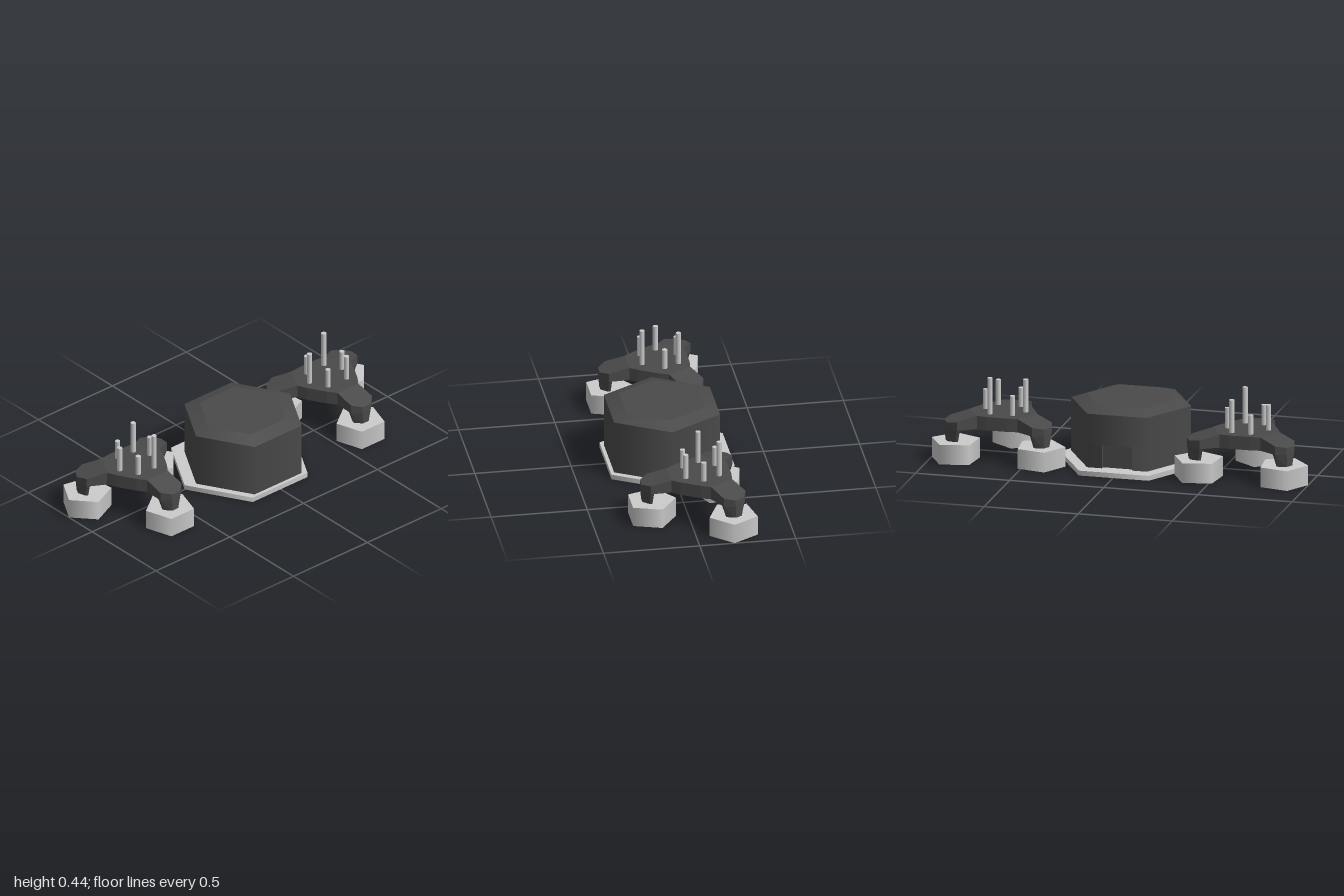
import * as THREE from 'three';

const grey = new THREE.MeshStandardMaterial({ color: 0xcccccc });
const dark = new THREE.MeshStandardMaterial({ color: 0x4a4a4a });

function add(parent, name, geometry, material) {
  const mesh = new THREE.Mesh(geometry, material);
  mesh.name = name;
  parent.add(mesh);
  return mesh;
}

// Upright prism over a footprint of [x, z] points
function prism(points, y0, y1) {
  const shape = new THREE.Shape(points.map(([x, z]) => new THREE.Vector2(x, -z)));
  const geometry = new THREE.ExtrudeGeometry(shape, { depth: y1 - y0, bevelEnabled: false });
  return geometry.rotateX(-Math.PI / 2).translate(0, y0, 0);
}

// Moves every vertex by a rule
function reshape(geometry, rule) {
  const p = geometry.attributes.position;
  const v = new THREE.Vector3();
  for (let i = 0; i < p.count; i++) {
    rule(v.fromBufferAttribute(p, i));
    p.setXYZ(i, v.x, v.y, v.z);
  }
  geometry.computeVertexNormals();
  return geometry;
}

const polar = (degrees, r) => {
  const a = THREE.MathUtils.degToRad(degrees);
  return [r * Math.sin(a), r * Math.cos(a)];
};

// Shades the outer walls of a hexagonal prism as one smooth surface
function smoothWalls(geometry, apothem) {
  const { position: p, normal: n } = geometry.attributes;
  for (let i = 0; i < p.count; i++) {
    const x = p.getX(i), z = p.getZ(i);
    if (Math.abs(x * n.getX(i) + z * n.getZ(i) - apothem) < 0.002 && Math.abs(n.getY(i)) < 0.1) {
      const l = Math.hypot(x, z);
      n.setXYZ(i, x / l, 0, z / l);
    }
  }
  return geometry;
}

function makeTower() {
  const tower = new THREE.Group();
  tower.name = 'tower';
  const R = 0.318, apothem = R * Math.cos(Math.PI / 6);
  const hex = [30, 90, 150, 210, 270, 330].map(a => polar(a, R));
  // Doorway notch in the back wall, between the corners at 150 and 210 degrees
  const w = 0.08, inner = -apothem + 0.02;
  const notch = [[w, -apothem], [w, inner], [-w, inner], [-w, -apothem]];
  const notched = [...hex.slice(0, 3), ...notch, ...hex.slice(3)];
  add(tower, 'lowerWallsWithDoorway', smoothWalls(prism(notched, 0.025, 0.15), apothem), dark);
  add(tower, 'upperWalls', smoothWalls(prism(hex, 0.15, 0.312), apothem), dark);
  const roof = new THREE.CylinderGeometry(0.235, R, 0.026, 6).rotateY(Math.PI / 6);
  add(tower, 'roof', roof, dark).position.y = 0.325;
  tower.position.set(-0.002, 0, 0.027);
  return tower;
}

// Three-armed platform on pentagonal feet, centred on its own axis
function makePlatform(rods) {
  const platform = new THREE.Group();
  const top = 0.243, under = 0.172, neck = 0.165;

  const hub = [0, 120, 240].flatMap(a =>
    [[a - 23, 0.18], [a + 23, 0.18], [a + 40, 0.16], [a + 80, 0.16]].map(q => polar(...q)));
  add(platform, 'hub', prism(hub, under, top), dark);

  for (let k = 0; k < 3; k++) {
    const arm = new THREE.Group();
    arm.name = 'arm';
    arm.rotation.y = k * Math.PI * 2 / 3;

    // Beam whose top slopes down towards the tip
    const beam = prism([[-0.07, neck], [-0.072, 0.272], [-0.027, 0.313],
      [0.027, 0.313], [0.072, 0.272], [0.07, neck]], under, top);
    add(arm, 'beam', reshape(beam, v => {
      if (v.y > 0.2) v.y = top - (v.z - neck) / (0.313 - neck) * 0.035;
    }), dark);

    // Leg tapering towards the foot
    const leg = prism([[-0.07, 0.255], [-0.072, 0.272], [-0.027, 0.313],
      [0.027, 0.313], [0.072, 0.272], [0.07, 0.255]], 0.095, under);
    add(arm, 'leg', reshape(leg, v => {
      if (v.y < 0.12) {
        v.x *= 0.65;
        v.z = 0.282 + (v.z - 0.282) * 0.8;
      }
    }), dark);

    // Pentagonal foot with its flat side outward
    const foot = new THREE.CylinderGeometry(0.13, 0.13, 0.105, 5, 1, false, Math.PI);
    add(arm, 'foot', foot, grey).position.set(0, 0.0525, 0.26);
    platform.add(arm);
  }

  // Rods standing on the hub: x, z, height of the top
  for (const [x, z, y] of rods) {
    const rod = new THREE.CylinderGeometry(0.0138, 0.0138, y - 0.23, 10);
    add(platform, 'rod', rod, grey).position.set(x, (y + 0.23) / 2, z);
  }
  return platform;
}

export function createModel() {
  const model = new THREE.Group();
  model.name = 'towerWithPlatforms';

  const base = new THREE.CylinderGeometry(0.37, 0.37, 0.026, 6).rotateY(Math.PI / 6);
  add(model, 'basePlate', base, grey).position.set(-0.004, 0.013, 0);
  model.add(makeTower());

  const right = makePlatform([
    [-0.043, -0.096, 0.345], [0.058, -0.091, 0.417], [-0.112, 0, 0.378],
    [0.102, -0.012, 0.35], [-0.064, 0.09, 0.35], [0.038, 0.095, 0.435]]);
  right.name = 'rightPlatform';
  right.position.set(-0.645, 0, -0.066);

  const left = makePlatform([
    [-0.065, -0.083, 0.347], [0.054, -0.086, 0.435], [-0.113, -0.004, 0.417],
    [0.101, 0.002, 0.347], [-0.065, 0.085, 0.345], [0.057, 0.089, 0.377]]);
  left.name = 'leftPlatform';
  left.position.set(0.645, 0, -0.066);

  model.add(right, left);
  return model;
}
